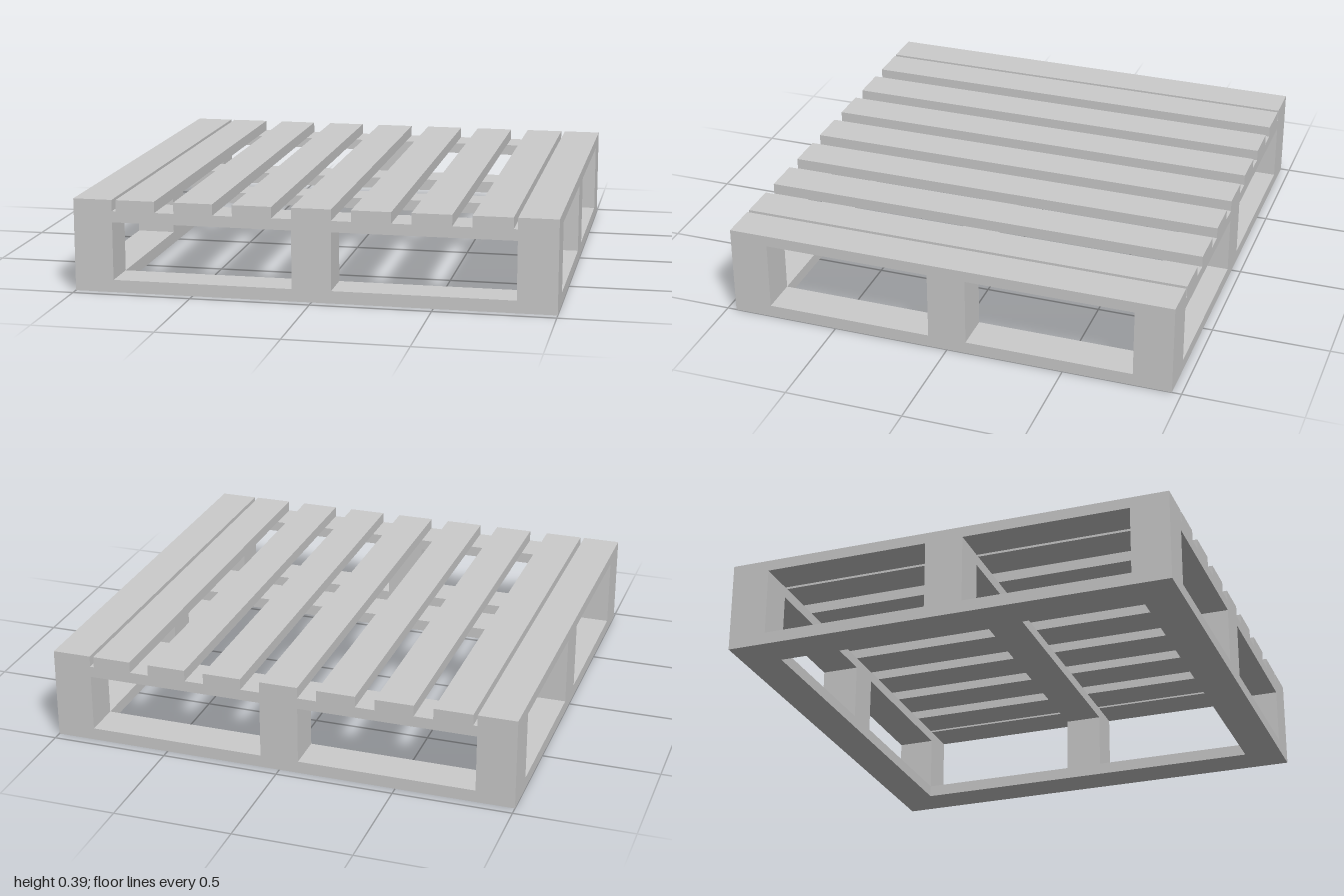
import * as THREE from 'three';

const W = 2, D = 1.92, H = 0.39;     // overall size
const BOARD = 0.164;                 // board and block width
const T = 0.047;                     // board thickness
const BASE = 0.052;                  // bottom board thickness

export function createModel() {
  const pallet = new THREE.Group();
  pallet.name = 'pallet';
  const wood = new THREE.MeshStandardMaterial({ color: 0xcccccc, flatShading: true });

  // box standing on height y
  const addBox = (name, w, h, d, x, y, z) => {
    const mesh = new THREE.Mesh(new THREE.BoxGeometry(w, h, d), wood);
    mesh.name = name;
    mesh.position.set(x, y + h / 2, z);
    pallet.add(mesh);
  };

  const edgeX = (W - BOARD) / 2, edgeZ = (D - BOARD) / 2;
  const stringerY = H - 2 * T;

  // deck boards, running front to back; the outer pair sits closer to its neighbours
  for (const x of [-edgeX, -0.737, -0.492, -0.246, 0, 0.246, 0.492, 0.737, edgeX]) {
    addBox('deckBoard', BOARD, T, D, x, H - T, 0);
  }

  // stringer boards under the deck
  for (const z of [-edgeZ, 0, edgeZ]) addBox('stringerBoard', W, T, BOARD, 0, stringerY, z);

  // spacer blocks around the rim, none in the middle
  for (const i of [-1, 0, 1]) {
    for (const k of [-1, 0, 1]) {
      if (i === 0 && k === 0) continue;
      addBox('spacerBlock', BOARD, stringerY - BASE, BOARD, i * edgeX, BASE, k * edgeZ);
    }
  }

  // bottom frame
  for (const s of [-1, 1]) {
    addBox('bottomCrossBoard', W, BASE, BOARD, 0, 0, s * edgeZ);
    addBox('bottomSideBoard', BOARD, BASE, D - 2 * BOARD, s * edgeX, 0, 0);
  }

  return pallet;
}
